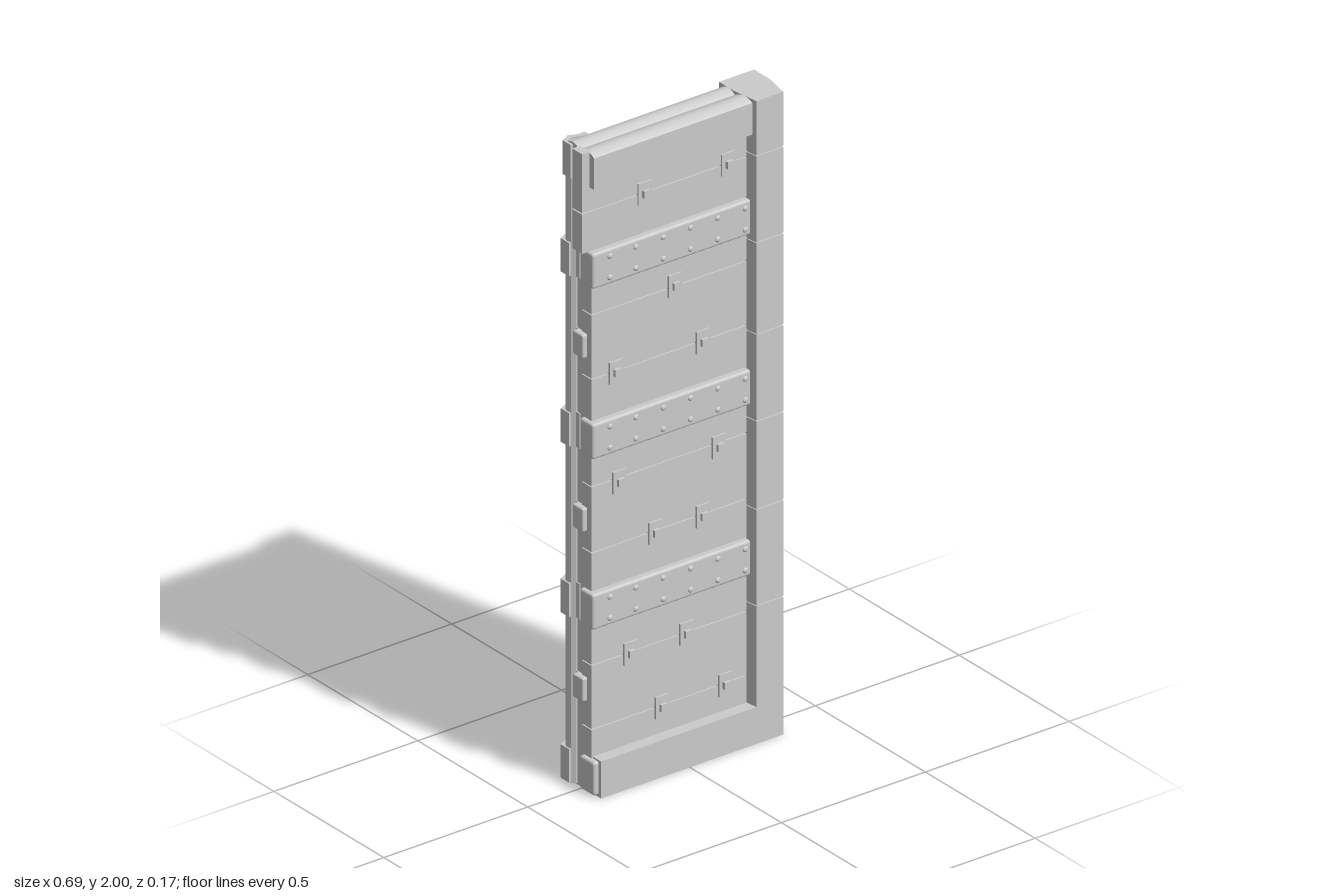
import * as THREE from 'three';
import { RoundedBoxGeometry } from 'three/addons/geometries/RoundedBoxGeometry.js';

export function createModel() {
  const model = new THREE.Group();
  model.name = 'reinforcedDoorLeaf';
  const mat = new THREE.MeshStandardMaterial({ color: 0xcccccc, flatShading: true });

  const add = (name, geo) => {
    const mesh = new THREE.Mesh(geo, mat);
    mesh.name = name;
    model.add(mesh);
    return mesh;
  };
  // Box given by its limits on each axis
  const box = (name, x0, x1, y0, y1, z0, z1, r = 0) => {
    const size = [x1 - x0, y1 - y0, z1 - z0];
    const geo = r ? new RoundedBoxGeometry(...size, 2, r) : new THREE.BoxGeometry(...size);
    return add(name, geo.translate((x0 + x1) / 2, (y0 + y1) / 2, (z0 + z1) / 2));
  };
  // Upright prism from an outline of [x, z] points
  const prism = (name, pts, y0, y1) => {
    const shape = new THREE.Shape(pts.map(([x, z]) => new THREE.Vector2(x, -z)));
    const geo = new THREE.ExtrudeGeometry(shape, { depth: y1 - y0, bevelEnabled: false });
    return add(name, geo.rotateX(-Math.PI / 2).translate(0, y0, 0));
  };
  // Dome rivet facing the front (side 1) or the back (side -1)
  const rivet = (x, y, z, side) => {
    const geo = new THREE.SphereGeometry(0.009, 10, 4, 0, Math.PI * 2, 0, Math.PI / 2);
    geo.scale(1, 0.6, 1).rotateX(side * Math.PI / 2).translate(x, y, z);
    add('rivet', geo);
  };
  const rivetXs = [-0.265, -0.175, -0.08, 0.015, 0.11, 0.205];

  // Edge post, split into blocks by narrow joints
  const outline = [[0.22, -0.072], [0.342, -0.072], [0.342, 0], [0.325, 0.083], [0.232, 0.083], [0.22, 0]];
  const inner = outline.map(([x, z]) => [0.28 + (x - 0.28) * 0.95, z * 0.95]);
  prism('postCore', inner, 0.01, 1.99);
  const joints = [0, 0.43, 0.73, 1.005, 1.275, 1.56, 1.83, 2];
  for (let i = 0; i < joints.length - 1; i++) {
    prism('postBlock', outline, joints[i] + (i ? 0.002 : 0), joints[i + 1] - (i < 6 ? 0.002 : 0));
  }

  // Panel core and bottom frame
  box('panelCore', -0.308, 0.23, 0.05, 1.97, -0.04, 0.04);
  box('bottomFrame', -0.308, 0.24, 0, 0.115, -0.072, 0.083);
  box('backEdgeTrim', 0.205, 0.225, 0.115, 1.9, -0.06, -0.03);

  // Front planks
  const seams = [0.1, 0.2, 0.4, 0.575, 0.75, 0.955, 1.105, 1.29, 1.49, 1.635];
  for (let i = 0; i < seams.length - 1; i++) {
    box('frontPlank', -0.312, 0.228, seams[i] + 0.002, seams[i + 1] - 0.002, 0, 0.045);
  }
  box('topPlank', -0.345, 0.228, 1.69, 1.812, 0, 0.045);
  box('topPlank', -0.345, 0.228, 1.816, 1.99, 0, 0.045);
  box('topSidePlate', -0.345, -0.318, 1.816, 2, 0, 0.045);

  // Top rails with gently crowned upper faces
  const topRail = (name, z0, z1) => {
    const s = new THREE.Shape();
    s.moveTo(z0, 1.89);
    s.lineTo(z1, 1.89);
    s.lineTo(z1, 1.988);
    s.quadraticCurveTo((z0 + z1) / 2, 2.012, z0, 1.988);
    const geo = new THREE.ExtrudeGeometry(s, { depth: 0.55, bevelEnabled: false, curveSegments: 10 });
    add(name, geo.rotateY(-Math.PI / 2).translate(0.23, 0, 0));
  };
  topRail('frontTopRail', 0, 0.067);
  topRail('backTopRail', -0.06, 0);

  // Riveted cross bands on both faces
  for (const y of [1.635, 1.105, 0.575]) {
    box('frontBand', -0.325, 0.226, y - 0.055, y + 0.055, 0.006, 0.067, 0.008);
    box('backBand', -0.312, 0.222, y - 0.055, y + 0.055, -0.067, -0.01);
    for (const x of rivetXs) {
      for (const dy of [-0.033, 0.033]) {
        rivet(x, y + dy, 0.067, 1);
        if (x > -0.24) rivet(x, y + dy, -0.067, -1);
      }
    }
  }
  box('bottomCornerPlate', -0.325, -0.29, 0.006, 0.11, 0.006, 0.072, 0.008);

  // Narrow back bands that wrap round the hinge edge
  for (const y of [1.385, 0.845, 0.317]) {
    box('narrowBackBand', -0.312, 0.222, y - 0.037, y + 0.037, -0.06, -0.01);
    box('narrowBandEnd', -0.328, -0.295, y - 0.037, y + 0.037, -0.022, 0.025, 0.006);
    for (const x of rivetXs.slice(1)) rivet(x, y, -0.06, -1);
  }

  // Hinge pole and its folded straps
  const pole = new THREE.CylinderGeometry(0.026, 0.026, 1.985, 12);
  add('hingePole', pole.translate(-0.3, 0.9975, -0.048));
  const strap = [
    [-0.33, -0.035], [-0.33, -0.072], [-0.302, -0.087], [-0.272, -0.074], [-0.25, -0.077],
    [-0.25, -0.06], [-0.275, -0.06], [-0.3, -0.07], [-0.322, -0.062], [-0.322, -0.035],
  ];
  for (const y of [0.06, 0.575, 1.105, 1.635]) prism('hingeStrap', strap, y - 0.052, y + 0.052);
  prism('topHingeCap', strap.map(([x, z]) => [x, z + 0.008]), 1.89, 1.995);

  // Clips bridging the plank seams
  const clips = [
    [-0.13, 1.815], [0.16, 1.815], [-0.025, 1.495], [-0.23, 1.29], [0.072, 1.29], [-0.218, 0.945],
    [0.128, 0.945], [-0.093, 0.748], [0.072, 0.748], [-0.18, 0.4], [0.015, 0.4], [-0.07, 0.198], [0.15, 0.198],
  ];
  for (const [x, y] of clips) {
    box('seamClip', x - 0.023, x + 0.023, y - 0.034, y + 0.034, 0.04, 0.051);
    box('clipBolt', x - 0.011, x + 0.011, y - 0.011, y + 0.011, 0.05, 0.061);
  }
  return model;
}
